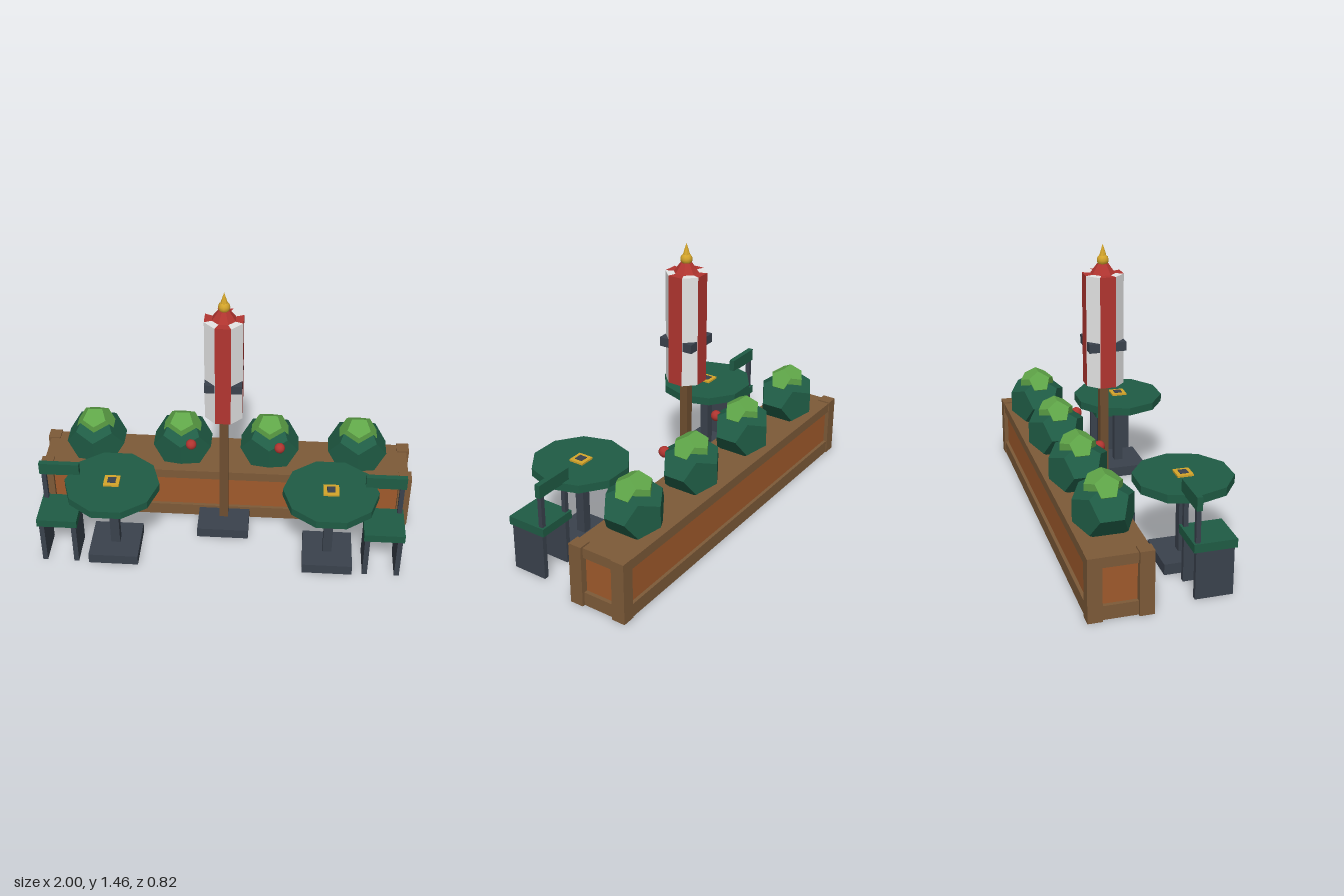
import * as THREE from 'three';

const mat = (name, color) => {
  const m = new THREE.MeshStandardMaterial({ color });
  m.name = name;
  return m;
};

export function createModel() {
  const wood = mat('wood', 0x7d5a38);
  const panelWood = mat('panel wood', 0xa05a2c);
  const green = mat('dark green', 0x1f5c45);
  const leaf = mat('light green', 0x5fa548);
  const red = mat('red', 0xb23530);
  const white = mat('white', 0xe6e6e6);
  const metal = mat('dark metal', 0x3a424d);
  const gold = mat('gold', 0xd4a52a);
  const poleWood = mat('pole wood', 0x6e4e30);

  const model = new THREE.Group();

  const add = (parent, name, geometry, material, x, y, z) => {
    const mesh = new THREE.Mesh(geometry, material);
    mesh.name = name;
    mesh.position.set(x, y, z);
    parent.add(mesh);
    return mesh;
  };
  // Box given by its extents on each axis
  const box = (parent, name, material, [x0, x1], [y0, y1], [z0, z1]) =>
    add(parent, name, new THREE.BoxGeometry(x1 - x0, y1 - y0, z1 - z0), material,
      (x0 + x1) / 2, (y0 + y1) / 2, (z0 + z1) / 2);
  // Faceted solid with flat normals
  const flat = (geometry) => {
    const g = geometry.toNonIndexed();
    g.computeVertexNormals();
    return g;
  };
  const group = (name, parent = model) => {
    const g = new THREE.Group();
    g.name = name;
    parent.add(g);
    return g;
  };

  // Planter: rails, recessed panels and corner posts
  const planter = group('planter');
  box(planter, 'bottomRail', wood, [-0.985, 0.985], [0, 0.07], [-0.405, -0.105]);
  box(planter, 'panels', panelWood, [-0.965, 0.965], [0.07, 0.26], [-0.388, -0.122]);
  box(planter, 'topRail', wood, [-0.985, 0.985], [0.26, 0.312], [-0.405, -0.105]);
  for (const x of [-0.967, 0.967]) {
    for (const z of [-0.375, -0.135]) {
      box(planter, 'cornerPost', wood, [x - 0.033, x + 0.033], [0, 0.32], [z - 0.035, z + 0.035]);
    }
  }

  // Bushes with lighter crowns
  const bushGeometry = new THREE.DodecahedronGeometry(1);
  for (const x of [-0.705, -0.235, 0.235, 0.705]) {
    const bush = group('bush');
    add(bush, 'foliage', bushGeometry, green, x, 0.412, -0.255).scale.set(0.166, 0.154, 0.158);
    add(bush, 'crown', bushGeometry, leaf, x, 0.502, -0.255).scale.set(0.106, 0.095, 0.098);
  }
  for (const x of [-0.18, 0.29]) {
    add(model, 'berry', new THREE.IcosahedronGeometry(0.029, 1), red, x, 0.475, -0.13);
  }

  // Closed parasol: eight alternating panels round a pole
  const parasol = group('parasol');
  parasol.position.z = -0.06;
  box(parasol, 'parasolBase', metal, [-0.137, 0.137], [0, 0.056], [-0.13, 0.13]);
  box(parasol, 'pole', poleWood, [-0.022, 0.022], [0.056, 0.8], [-0.022, 0.022]);
  const step = Math.PI / 4;
  const canopyRadius = 0.095 / Math.cos(step / 2);
  for (let i = 0; i < 8; i++) {
    const panel = flat(new THREE.CylinderGeometry(
      canopyRadius, canopyRadius, 0.565, 1, 1, false, (i - 0.5) * step, step));
    add(parasol, 'canopyPanel', panel, i % 2 ? white : red, 0, 1.0275, 0);
  }
  const strap = flat(new THREE.CylinderGeometry(0.132, 0.132, 0.046, 4));
  strap.rotateY(step);
  add(parasol, 'strap', strap, metal, 0, 0.955, 0);
  const cap = flat(new THREE.CylinderGeometry(0.028, 0.062, 0.048, 8));
  cap.rotateY(step / 2);
  add(parasol, 'cap', cap, red, 0, 1.334, 0);
  add(parasol, 'finialBall', new THREE.IcosahedronGeometry(0.03, 1), gold, 0, 1.375, 0);
  add(parasol, 'finialTip', flat(new THREE.ConeGeometry(0.022, 0.07, 8)), gold, 0, 1.42, 0);

  // A table and a chair on each side
  const topGeometry = flat(new THREE.CylinderGeometry(0.245, 0.245, 0.042, 10));
  topGeometry.rotateY(Math.PI / 2);
  for (const side of [-1, 1]) {
    const table = group('table');
    table.position.set(side * 0.56, 0, 0.177);
    box(table, 'tableBase', metal, [-0.13, 0.13], [0, 0.056], [-0.13, 0.13]);
    box(table, 'tableColumn', metal, [-0.024, 0.024], [0.056, 0.415], [-0.024, 0.024]);
    add(table, 'tableTop', topGeometry, green, 0, 0.434, 0);
    box(table, 'tray', gold, [-0.04, 0.04], [0.455, 0.465], [-0.04, 0.04]);
    box(table, 'trayInset', metal, [-0.021, 0.021], [0.464, 0.468], [-0.021, 0.021]);

    const chair = group('chair');
    chair.position.x = side * 0.84;
    box(chair, 'seat', green, [-0.104, 0.104], [0.243, 0.286], [0.1, 0.31]);
    box(chair, 'backrest', green, [-0.104, 0.104], [0.45, 0.518], [0.108, 0.136]);
    for (const x of [-0.083, 0.083]) {
      box(chair, 'legPanel', metal, [x - 0.013, x + 0.013], [0, 0.243], [0.113, 0.298]);
      box(chair, 'backPost', metal, [x - 0.012, x + 0.012], [0.286, 0.45], [0.111, 0.133]);
    }
  }

  return model;
}
